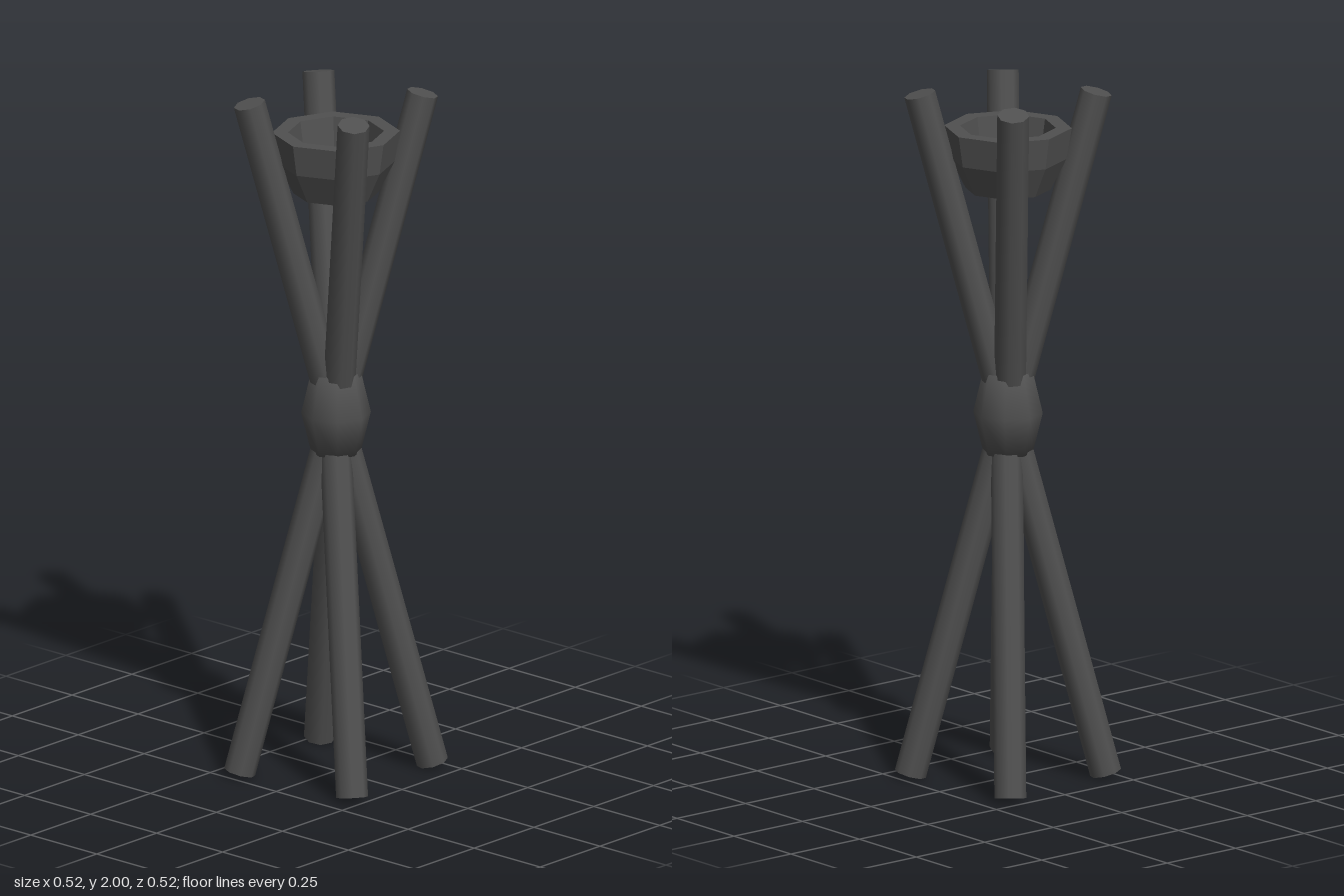
import * as THREE from 'three';

const material = new THREE.MeshStandardMaterial({ color: 0x505050 });
const facetedMaterial = new THREE.MeshStandardMaterial({ color: 0x505050, flatShading: true });

const SIDES = 8;

// Revolve a short [radius, height] profile into an eight-sided solid
function lathe(name, profile, mat) {
  const points = profile.map(([r, y]) => new THREE.Vector2(r, y));
  const mesh = new THREE.Mesh(new THREE.LatheGeometry(points, SIDES), mat);
  mesh.name = name;
  return mesh;
}

// Straight round pole between two points
function pole(name, from, to, radius) {
  const axis = to.clone().sub(from);
  const mesh = new THREE.Mesh(new THREE.CylinderGeometry(radius, radius, axis.length(), SIDES), material);
  mesh.position.copy(from).add(to).multiplyScalar(0.5);
  mesh.quaternion.setFromUnitVectors(new THREE.Vector3(0, 1, 0), axis.normalize());
  mesh.name = name;
  return mesh;
}

export function createModel() {
  const model = new THREE.Group();
  model.name = 'brazier';

  // Four crossing poles, each a quarter turn from the last
  const up = new THREE.Vector3(0, 1, 0);
  const foot = new THREE.Vector3(-0.215, 0.011, -0.17);
  const tip = new THREE.Vector3(0.2, 1.989, 0.147);
  for (let i = 0; i < 4; i++) {
    const angle = i * Math.PI / 2;
    model.add(pole('pole' + (i + 1),
      foot.clone().applyAxisAngle(up, angle),
      tip.clone().applyAxisAngle(up, angle), 0.045));
  }

  // Binding that wraps the poles where they cross
  model.add(lathe('binding', [
    [0, 0.945], [0.07, 0.945], [0.098, 1.06], [0.07, 1.18], [0, 1.18],
  ], material));

  // Hollow bowl held between the pole tips
  model.add(lathe('bowl', [
    [0, 1.71], [0.12, 1.71], [0.165, 1.8], [0.18, 1.89],
    [0.135, 1.89], [0.115, 1.76], [0, 1.76],
  ], facetedMaterial));

  return model;
}
